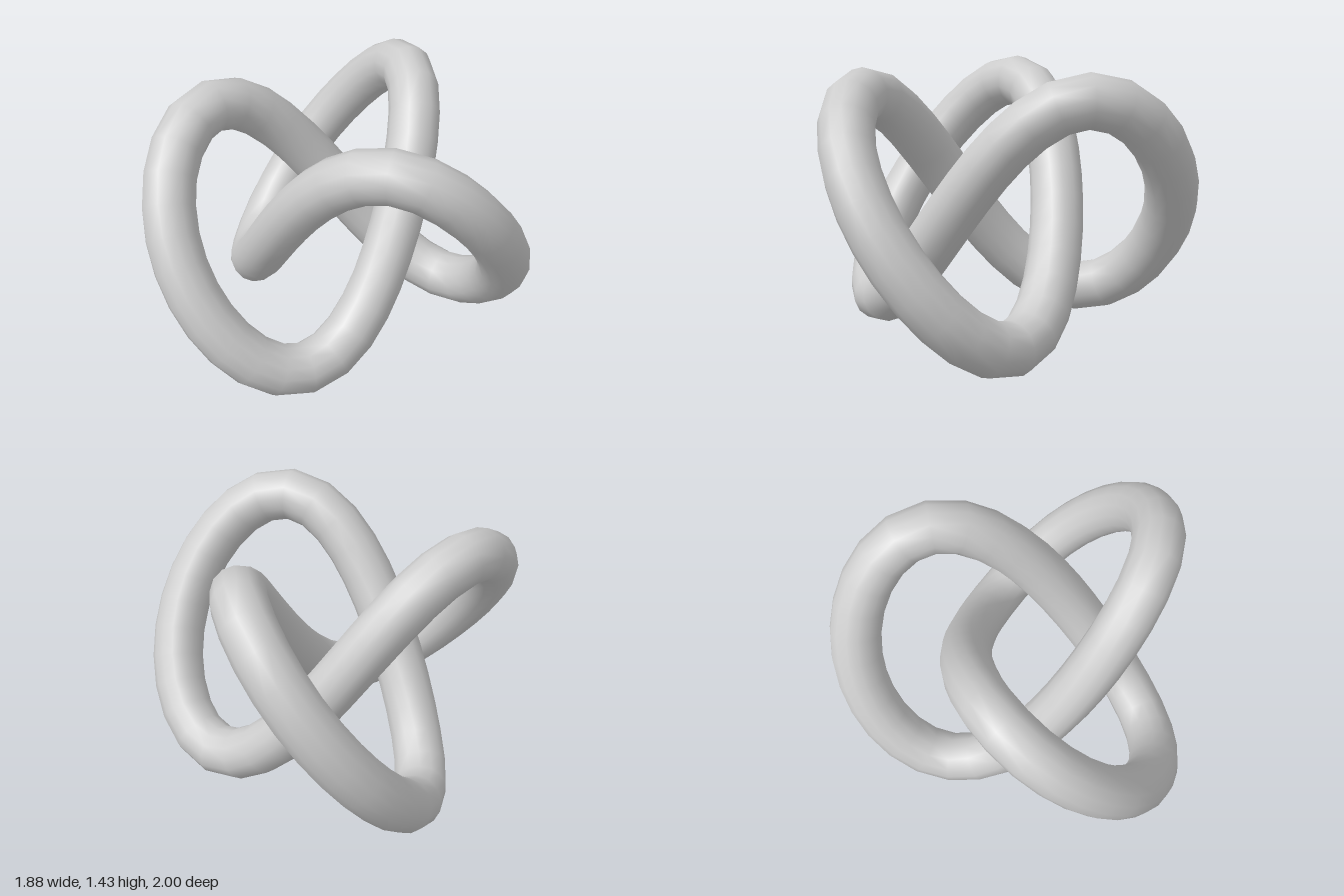
import * as THREE from 'three';

const OUTER = 0.648;   // main radius of the winding
const WOBBLE = 0.295;  // counter-rotating radius that makes the three lobes
const RISE = 0.578;    // half height of the centreline
const TUBE = 0.137;
const OFFSET_X = 0.139;

// Closed trefoil centreline: two turns around y, three lobes
class TrefoilCurve extends THREE.Curve {
  getPoint(t, target = new THREE.Vector3()) {
    const a = t * Math.PI * 4;
    const lobe = 1.5 * a;
    return target.set(
      OFFSET_X - OUTER * Math.cos(a) - WOBBLE * Math.cos(a / 2),
      TUBE + RISE + RISE * Math.sin(lobe - 0.21 * Math.sin(lobe)),
      -OUTER * Math.sin(a) + WOBBLE * Math.sin(a / 2)
    );
  }
}

export function createModel() {
  const group = new THREE.Group();
  group.name = 'trefoilKnot';

  // Smooth round tube swept along the knot
  const curve = new TrefoilCurve();
  curve.arcLengthDivisions = 600;
  const knot = new THREE.Mesh(
    new THREE.TubeGeometry(curve, 72, TUBE, 14, true),
    new THREE.MeshStandardMaterial({ color: 0xcccccc })
  );
  knot.name = 'knotTube';
  group.add(knot);
  return group;
}
